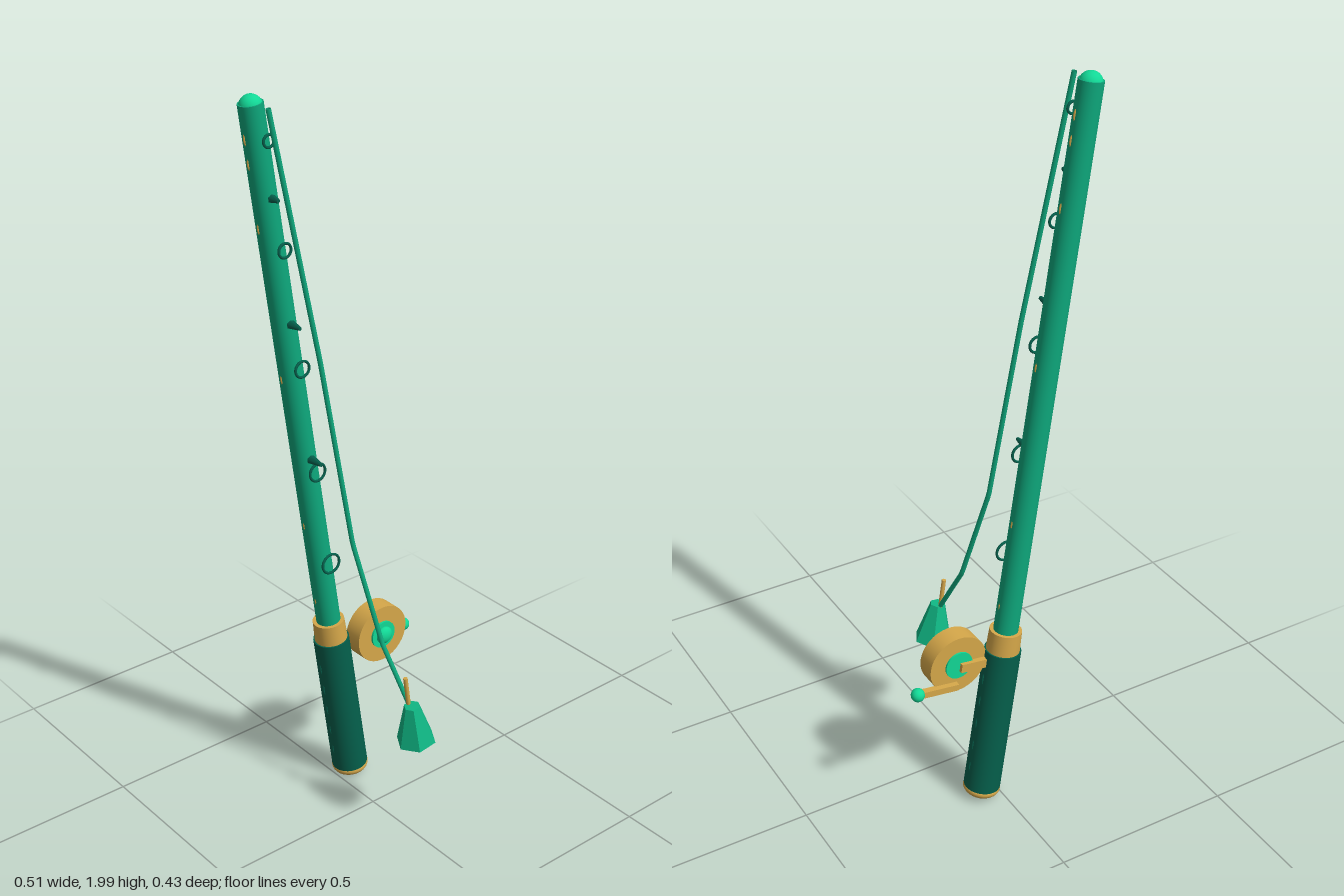
import * as THREE from 'three';

const material = (color, extra = {}) => new THREE.MeshStandardMaterial({ color, ...extra });
const GREEN = material(0x0ea87c);
const DARK = material(0x04604c);
const BRIGHT = material(0x12d896);
const GOLD = material(0xd6a84a);
const FACETED = material(0x10b885, { flatShading: true });

const TILT = 0.1405;
const ROD_Z = -0.16;

export function createModel() {
  const model = new THREE.Group();
  model.name = 'fishingRod';

  // Everything on the rod is built upright, then leaned over
  const rod = new THREE.Group();
  rod.name = 'rodAssembly';
  rod.position.set(0.051, 0, ROD_Z);
  rod.rotation.z = TILT;
  model.add(rod);

  const add = (parent, name, geometry, mat, x, y, z) => {
    const mesh = new THREE.Mesh(geometry, mat);
    mesh.name = name;
    mesh.position.set(x, y, z);
    parent.add(mesh);
    return mesh;
  };
  const along = (height) => height / Math.cos(TILT);
  const post = (name, mat, rTop, rBottom, y0, y1) =>
    add(rod, name, new THREE.CylinderGeometry(rTop, rBottom, along(y1 - y0), 32), mat, 0, along((y0 + y1) / 2), 0);

  // Pole, grip, collar and end caps
  post('pole', GREEN, 0.031, 0.033, 0.45, 1.98);
  post('grip', DARK, 0.049, 0.05, 0.04, 0.475);
  post('collar', GOLD, 0.043, 0.045, 0.47, 0.535);
  add(rod, 'tipBall', new THREE.SphereGeometry(0.029, 24, 16), BRIGHT, 0, along(1.971), 0);
  const buttCap = add(rod, 'buttCap', new THREE.SphereGeometry(0.051, 28, 16), GOLD, 0, along(0.034), 0);
  buttCap.scale.y = 0.5;

  // Thin bindings that just break the surface of the pole and the grip
  [0.61, 0.85, 1.28, 1.68, 1.84, 1.9].forEach((y) =>
    add(rod, 'binding', new THREE.TorusGeometry(0.031, 0.0035, 6, 28), GOLD, 0, along(y), 0));
  for (let i = 0; i < 5; i++) {
    add(rod, 'gripRib', new THREE.TorusGeometry(0.049, 0.0035, 6, 28), DARK, 0, along(0.11 + i * 0.07), 0);
  }

  // Line guides: rings in front of the pole, shrinking toward the tip
  [0.74, 1.02, 1.315, 1.63, 1.9].forEach((y, i) =>
    add(rod, 'guideRing', new THREE.TorusGeometry(0.027 - i * 0.003, 0.0035, 8, 24), DARK, 0, along(y), 0.052));

  // Tapered guide stems
  [[1.05, 0.074], [1.43, 0.068], [1.755, 0.055]].forEach(([y, reach]) => {
    const stem = add(rod, 'guideStem', new THREE.CylinderGeometry(0.005, 0.014, reach - 0.02, 6), DARK, 0, along(y), (reach + 0.02) / 2);
    stem.rotation.x = Math.PI / 2;
  });

  // Reel: drum, hub and front knob on a z axis
  const reel = new THREE.Group();
  reel.name = 'reel';
  reel.position.set(0.112, 0.465, 0);
  reel.rotation.z = TILT;
  model.add(reel);
  const disc = (name, r, z0, z1, mat) => {
    const mesh = add(reel, name, new THREE.CylinderGeometry(r, r, z1 - z0, 36), mat, 0, 0, (z0 + z1) / 2);
    mesh.rotation.x = Math.PI / 2;
  };
  disc('reelDrum', 0.083, -0.15, -0.096, GOLD);
  disc('reelHub', 0.039, -0.155, -0.09, BRIGHT);
  const knob = add(reel, 'reelKnob', new THREE.SphereGeometry(0.025, 24, 16), BRIGHT, 0, 0, -0.088);
  knob.scale.z = 0.6;
  add(reel, 'reelFoot', new THREE.BoxGeometry(0.085, 0.025, 0.018), GOLD, -0.045, -0.005, -0.156);

  // Crank arm and its ball
  add(reel, 'crankArm', new THREE.BoxGeometry(0.115, 0.018, 0.018), GOLD, 0.056, -0.062, -0.156);
  add(reel, 'crankBall', new THREE.SphereGeometry(0.0185, 20, 14), BRIGHT, 0.117, -0.062, -0.156);

  // Hanging line with soft bends at a few points
  const points = [
    [-0.228, 1.98, -0.093], [-0.127, 1.35, -0.046], [-0.066, 0.85, -0.002],
    [-0.028, 0.57, 0.072], [-0.007, 0.42, 0.153],
  ].map((p) => new THREE.Vector3(...p));
  const line = new THREE.CurvePath();
  for (let i = 1; i < points.length; i++) line.add(new THREE.LineCurve3(points[i - 1], points[i]));
  add(model, 'line', new THREE.TubeGeometry(line, 96, 0.0065, 8, false),
    material(0x0ea87c, { side: THREE.DoubleSide }), 0, 0, 0);

  // Six-sided weight with a pin on top
  const weight = new THREE.Group();
  weight.name = 'weight';
  weight.position.set(0.001, 0.361, 0.168);
  weight.rotation.z = TILT;
  model.add(weight);
  const body = add(weight, 'weightBody', new THREE.CylinderGeometry(0.022, 0.054, 0.115, 6), FACETED, 0, 0, 0);
  body.rotation.y = Math.PI / 6;
  add(weight, 'weightPin', new THREE.CylinderGeometry(0.006, 0.006, 0.095, 12), GOLD, 0, 0.094, -0.014);

  return model;
}
